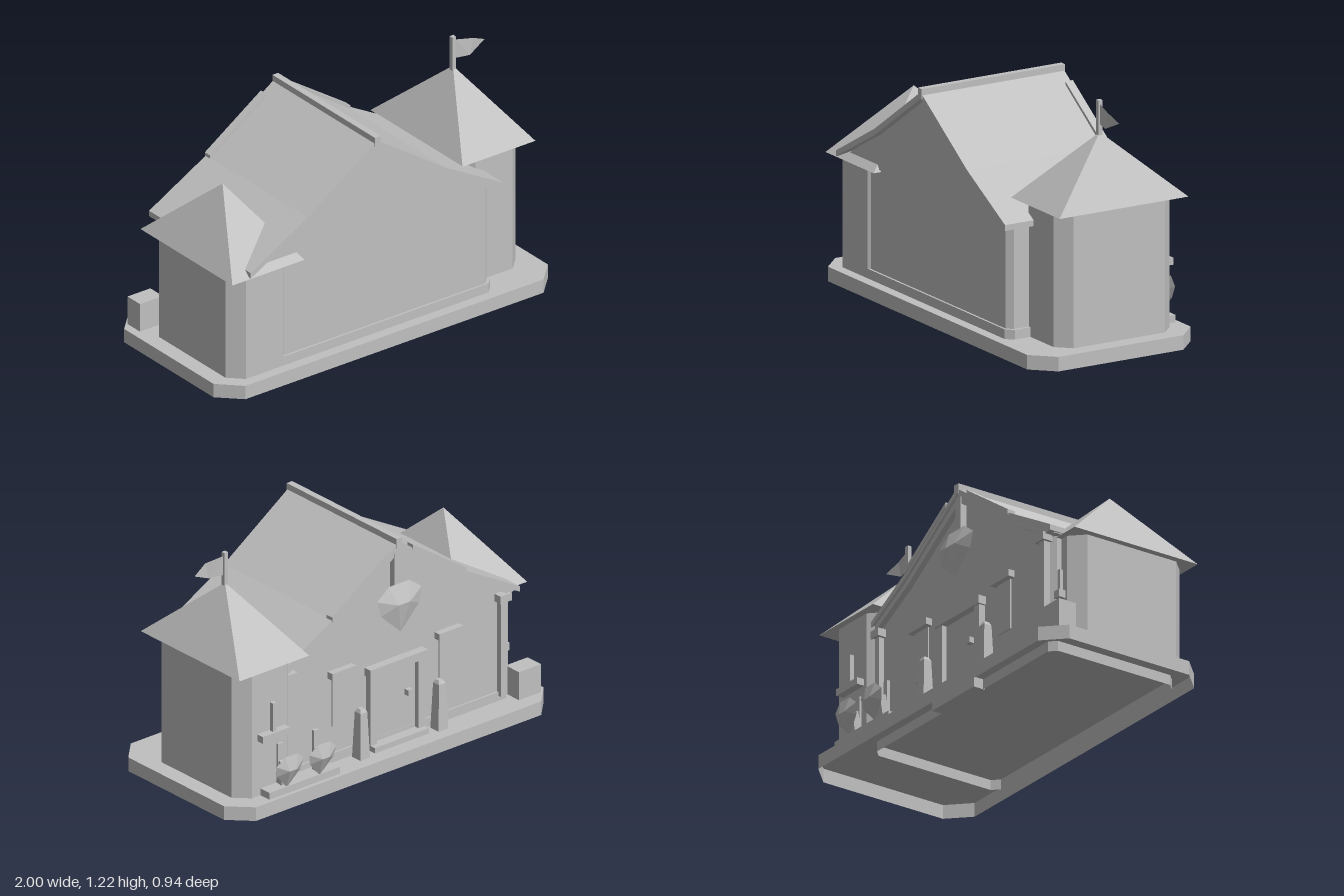
import * as THREE from 'three';
import { ConvexGeometry } from 'three/addons/geometries/ConvexGeometry.js';

const CX = -0.09; // ridge line of the hall

export function createModel() {
  const model = new THREE.Group();
  model.name = 'hall';
  const stone = new THREE.MeshStandardMaterial({ color: 0xc0c0c0, flatShading: true, side: THREE.DoubleSide });
  stone.name = 'plain stone grey';

  const add = (name, geo, parent = model) => {
    const m = new THREE.Mesh(geo, stone);
    m.name = name;
    parent.add(m);
    return m;
  };
  // box from its limits
  const box = (name, x0, x1, y0, y1, z0, z1, parent) => {
    const m = add(name, new THREE.BoxGeometry(x1 - x0, y1 - y0, z1 - z0), parent);
    m.position.set((x0 + x1) / 2, (y0 + y1) / 2, (z0 + z1) / 2);
    return m;
  };
  // plan with cut corners, raised as walls with a top and an open bottom
  const shell = (name, x0, x1, y0, y1, z0, z1, c) => {
    const plan = [
      [x0 + c, z0], [x0, z0 + c], [x0, z1 - c], [x0 + c, z1],
      [x1 - c, z1], [x1, z1 - c], [x1, z0 + c], [x1 - c, z0],
    ];
    const pos = [];
    plan.forEach(([ax, az], i) => {
      const [bx, bz] = plan[(i + 1) % 8];
      pos.push(ax, y0, az, bx, y0, bz, bx, y1, bz, ax, y0, az, bx, y1, bz, ax, y1, az);
      pos.push((x0 + x1) / 2, y1, (z0 + z1) / 2, ax, y1, az, bx, y1, bz);
    });
    const g = new THREE.BufferGeometry();
    g.setAttribute('position', new THREE.Float32BufferAttribute(pos, 3));
    g.computeVertexNormals();
    return add(name, g);
  };
  // profile in x and y, run along z
  const prism = (name, pts, z0, z1) => {
    const shape = new THREE.Shape(pts.map(([x, y]) => new THREE.Vector2(CX + x, y)));
    const g = new THREE.ExtrudeGeometry(shape, { depth: z1 - z0, bevelEnabled: false });
    return add(name, g.translate(0, 0, z0));
  };
  const pyramid = (name, x, z, hx, hz, y0, y1) => {
    const g = new THREE.ConeGeometry(Math.SQRT2, y1 - y0, 4, 1).rotateY(Math.PI / 4).scale(hx, 1, hz);
    add(name, g).position.set(x, (y0 + y1) / 2, z);
  };

  // ground slab and footing
  shell('groundSlab', -1, 1, 0, 0.072, -0.446, 0.472, 0.108);
  shell('footing', -0.82, 0.639, 0.02, 0.12, -0.31, 0.418, 0.035);

  // hall walls and gables
  shell('hallWalls', -0.803, 0.623, 0.1, 0.63, -0.3, 0.407, 0.03);
  prism('gables', [[-0.74, 0.63], [0.74, 0.63], [0.415, 0.825], [0, 1.11], [-0.415, 0.825]], -0.3, 0.413);

  // main roof with a slight kink in each slope
  for (const s of [-1, 1]) {
    prism('roofSlope', [
      [0, 1.13], [0.415 * s, 0.847], [0.757 * s, 0.657],
      [0.757 * s, 0.628], [0.415 * s, 0.815], [0, 1.098],
    ], -0.343, 0.455);
    // raised edge board over the entrance side
    prism('edgeBoard', [
      [0.085 * s, 1.088], [0.42 * s, 0.862], [0.42 * s, 0.835], [0.085 * s, 1.062],
    ], -0.347, -0.305);
    // rafter below the edge
    prism('rafter', [
      [0, 1.1], [0.415 * s, 0.816], [0.74 * s, 0.64], [0.7 * s, 0.63], [0.415 * s, 0.783], [0, 1.06],
    ], -0.33, -0.3);
    // corner post and beam end
    const x = CX + 0.67 * s;
    box('cornerPost', x - 0.02, x + 0.02, 0.1, 0.6, -0.33, -0.29);
    box('beamEnd', x - 0.035, x + 0.035, 0.6, 0.64, -0.345, -0.29);
  }
  box('ridgeCap', CX - 0.017, CX + 0.017, 1.1, 1.15, -0.346, 0.46);
  box('kingPost', CX - 0.02, CX + 0.02, 0.84, 1.09, -0.335, -0.3);

  // towers
  shell('wideTower', -0.917, -0.553, 0.072, 0.625, -0.242, 0.418, 0.07);
  pyramid('wideTowerRoof', -0.736, 0.088, 0.216, 0.361, 0.622, 0.95);
  shell('tallTower', 0.551, 0.913, 0.072, 0.74, -0.359, 0.294, 0.07);
  pyramid('tallTowerRoof', 0.735, -0.034, 0.218, 0.362, 0.738, 1.06);

  // flag
  box('flagPole', 0.722, 0.744, 1.03, 1.22, -0.043, -0.021);
  const flag = new THREE.BufferGeometry();
  flag.setAttribute('position', new THREE.Float32BufferAttribute([
    0.744, 1.2, -0.03, 0.84, 1.185, -0.012, 0.82, 1.1, -0.012, 0.744, 1.1, -0.03, 0.92, 1.147, -0.028,
  ], 3));
  flag.setIndex([0, 3, 2, 0, 2, 1, 1, 2, 4]);
  flag.computeVertexNormals();
  add('flag', flag);

  // door
  const door = new THREE.Group();
  door.name = 'door';
  model.add(door);
  box('doorLeaf', CX - 0.13, CX + 0.13, 0.1, 0.47, -0.308, -0.299, door);
  for (const s of [-1, 1]) {
    const x = CX + 0.15 * s;
    box('doorJamb', x - 0.02, x + 0.02, 0.1, 0.465, -0.335, -0.3, door);
  }
  box('doorLintel', CX - 0.18, CX + 0.18, 0.462, 0.505, -0.346, -0.3, door);
  box('doorStep', CX - 0.17, CX + 0.17, 0.02, 0.1, -0.365, -0.3, door);
  box('doorHandle', -0.185, -0.155, 0.29, 0.32, -0.335, -0.305, door);

  // windows and free-standing posts on both sides of the door
  for (const s of [-1, 1]) {
    const w = CX + 0.335 * s;
    box('windowPane', w - 0.05, w + 0.05, 0.26, 0.525, -0.307, -0.299);
    box('windowLintel', w - 0.075, w + 0.075, 0.52, 0.555, -0.335, -0.3);
    const p = CX + 0.245 * s;
    const post = add('entrancePost', new THREE.CylinderGeometry(0.03, 0.043, 0.24, 4).rotateY(Math.PI / 4));
    post.position.set(p, 0.192, -0.352);
    const tip = add('postTip', new THREE.CylinderGeometry(0.018, 0.03, 0.018, 4).rotateY(Math.PI / 4));
    tip.position.set(p, 0.321, -0.352);
  }

  // faceted shields: flat rim with a raised middle
  const shield = (name, w, h, d, x, y, z, tilt) => {
    const rim = [[-1, 0.55], [-0.45, 1], [0.45, 1], [1, 0.55], [0.85, -0.1], [0, -1], [-0.85, -0.1]];
    const pts = rim.map(([a, b]) => new THREE.Vector3(a * w, b * h, 0));
    pts.push(new THREE.Vector3(-0.25 * w, 0.25 * h, -d), new THREE.Vector3(0.25 * w, 0.25 * h, -d));
    pts.push(new THREE.Vector3(0, 0.1 * h, d * 0.4));
    const m = add(name, new ConvexGeometry(pts));
    m.position.set(x, y, z);
    m.rotation.x = tilt;
  };
  shield('gableShield', 0.14, 0.125, 0.035, CX, 0.785, -0.35, 0.05);
  for (const x of [0.47, 0.675]) shield('standingShield', 0.085, 0.09, 0.03, x, 0.19, -0.433, -0.17);

  // shield rack
  box('rackBase', 0.35, 0.79, 0.072, 0.108, -0.425, -0.34);
  for (const x of [0.45, 0.675]) {
    box('rackProp', x - 0.02, x + 0.02, 0.11, 0.23, -0.41, -0.372).rotation.x = -0.17;
    box('rackBack', x - 0.015, x + 0.015, 0.1, 0.315, -0.372, -0.355);
  }

  // wall brackets with candles
  box('tallTowerShelf', 0.64, 0.81, 0.365, 0.4, -0.4, -0.355);
  box('tallTowerCandle', 0.713, 0.737, 0.4, 0.55, -0.388, -0.365);
  box('wideTowerBracket', -0.835, -0.795, 0.3, 0.34, -0.28, -0.235);
  box('wideTowerCandle', -0.824, -0.806, 0.34, 0.45, -0.268, -0.25);

  // crate beside the wide tower
  box('crate', -0.957, -0.82, 0.072, 0.22, -0.368, -0.27);

  return model;
}
